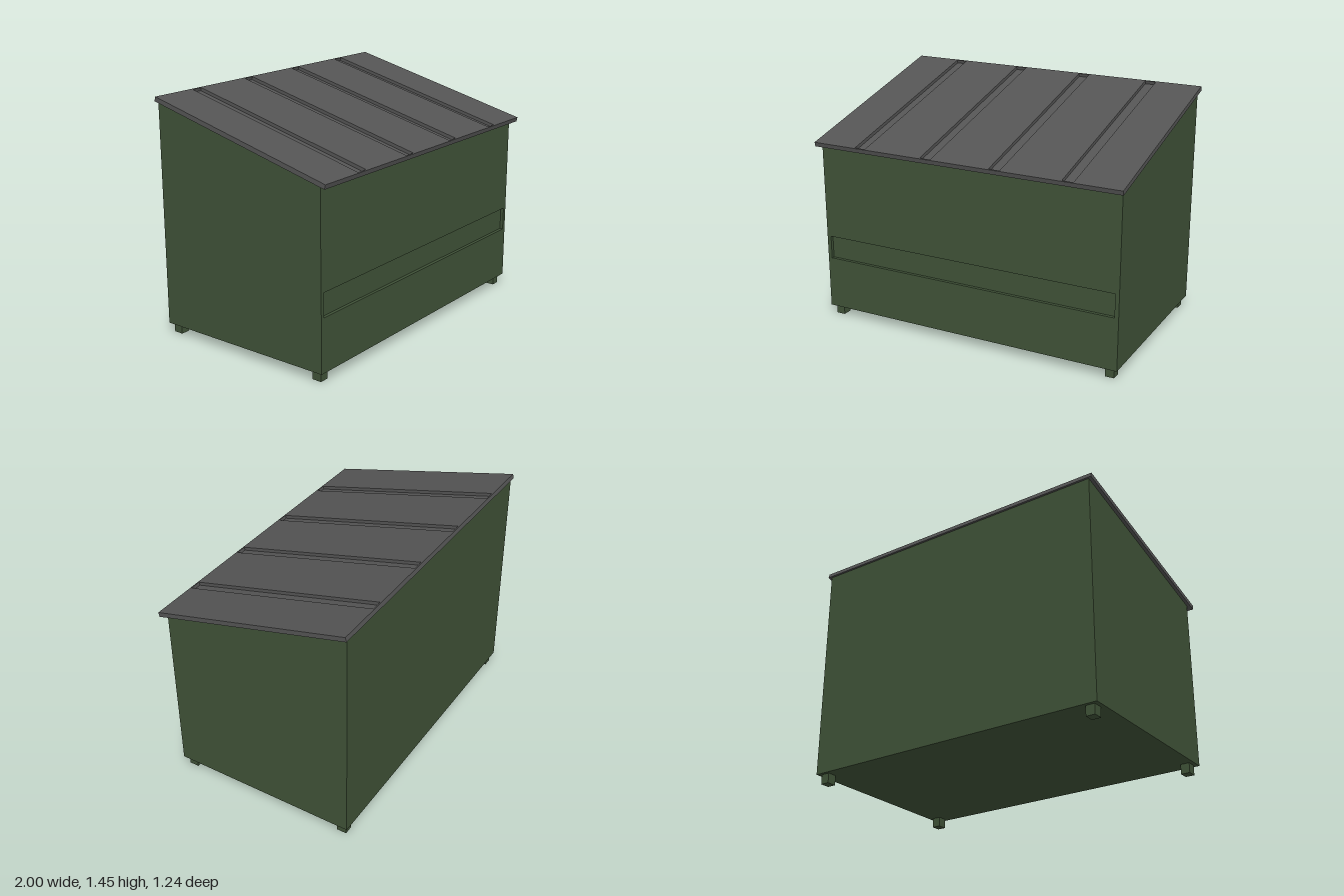
import * as THREE from 'three';

const green = new THREE.MeshStandardMaterial({ color: 0x3f5237 });
green.name = 'dark green paint';
const grey = new THREE.MeshStandardMaterial({ color: 0x545454 });
grey.name = 'grey lid';

const HALF_W = 0.98, BACK = -0.61, FRONT = 0.57, BASE = 0.06;
const SLOPE = Math.atan(0.306 / 1.233);
const LID = { w: 2, len: 1.27, t: 0.028, y: 1.285 };
const RECESS = 0.02;

// Height of the lid's underside at a given z
const underside = z => LID.y - LID.t / 2 / Math.cos(SLOPE) - z * Math.tan(SLOPE);

function add(parent, name, geometry, material, x = 0, y = 0, z = 0) {
  const mesh = new THREE.Mesh(geometry, material);
  mesh.name = name;
  mesh.position.set(x, y, z);
  parent.add(mesh);
  return mesh;
}

function rectangle(Type, x0, y0, x1, y1) {
  const p = new Type();
  p.moveTo(x0, y0);
  p.lineTo(x1, y0);
  p.lineTo(x1, y1);
  p.lineTo(x0, y1);
  p.closePath();
  return p;
}

const extrude = (shape, depth) => new THREE.ExtrudeGeometry(shape, { depth, bevelEnabled: false });

export function createModel() {
  const model = new THREE.Group();
  model.name = 'storageBin';

  // Body: sloped side profile (z, y) extruded across the width
  const inner = FRONT - RECESS;
  const profile = new THREE.Shape([
    new THREE.Vector2(-inner, BASE),
    new THREE.Vector2(-BACK, BASE),
    new THREE.Vector2(-BACK, underside(BACK)),
    new THREE.Vector2(-inner, underside(inner)),
  ]);
  const bodyGeometry = extrude(profile, HALF_W * 2);
  bodyGeometry.translate(0, 0, -HALF_W).rotateY(Math.PI / 2);
  add(model, 'body', bodyGeometry, green);

  // Front wall with a long shallow recess
  const front = rectangle(THREE.Shape, -HALF_W, BASE, HALF_W, underside(inner));
  front.holes.push(rectangle(THREE.Path, -0.955, 0.385, 0.955, 0.53));
  add(model, 'frontWall', extrude(front, RECESS), green, 0, 0, inner);

  // Feet
  for (const x of [-0.927, 0.927]) {
    for (const z of [-0.56, 0.515]) {
      add(model, 'foot', new THREE.BoxGeometry(0.056, BASE, 0.06), green, x, BASE / 2, z);
    }
  }

  // Tilted lid: thin base sheet plus a top sheet cut by four grooves
  const lid = new THREE.Group();
  lid.name = 'lid';
  lid.position.y = LID.y;
  lid.rotation.x = SLOPE;
  model.add(lid);

  const sheet = LID.t - RECESS;
  add(lid, 'lidBase', new THREE.BoxGeometry(LID.w, sheet, LID.len), grey, 0, (sheet - LID.t) / 2, 0);

  const top = rectangle(THREE.Shape, -LID.w / 2, -LID.len / 2, LID.w / 2, LID.len / 2);
  for (const x of [-0.675, -0.225, 0.225, 0.675]) {
    top.holes.push(rectangle(THREE.Path, x - 0.035, -0.626, x + 0.035, 0.626));
  }
  const topGeometry = extrude(top, RECESS);
  topGeometry.rotateX(-Math.PI / 2);
  add(lid, 'groovedLidTop', topGeometry, grey, 0, sheet - LID.t / 2, 0);

  return model;
}
